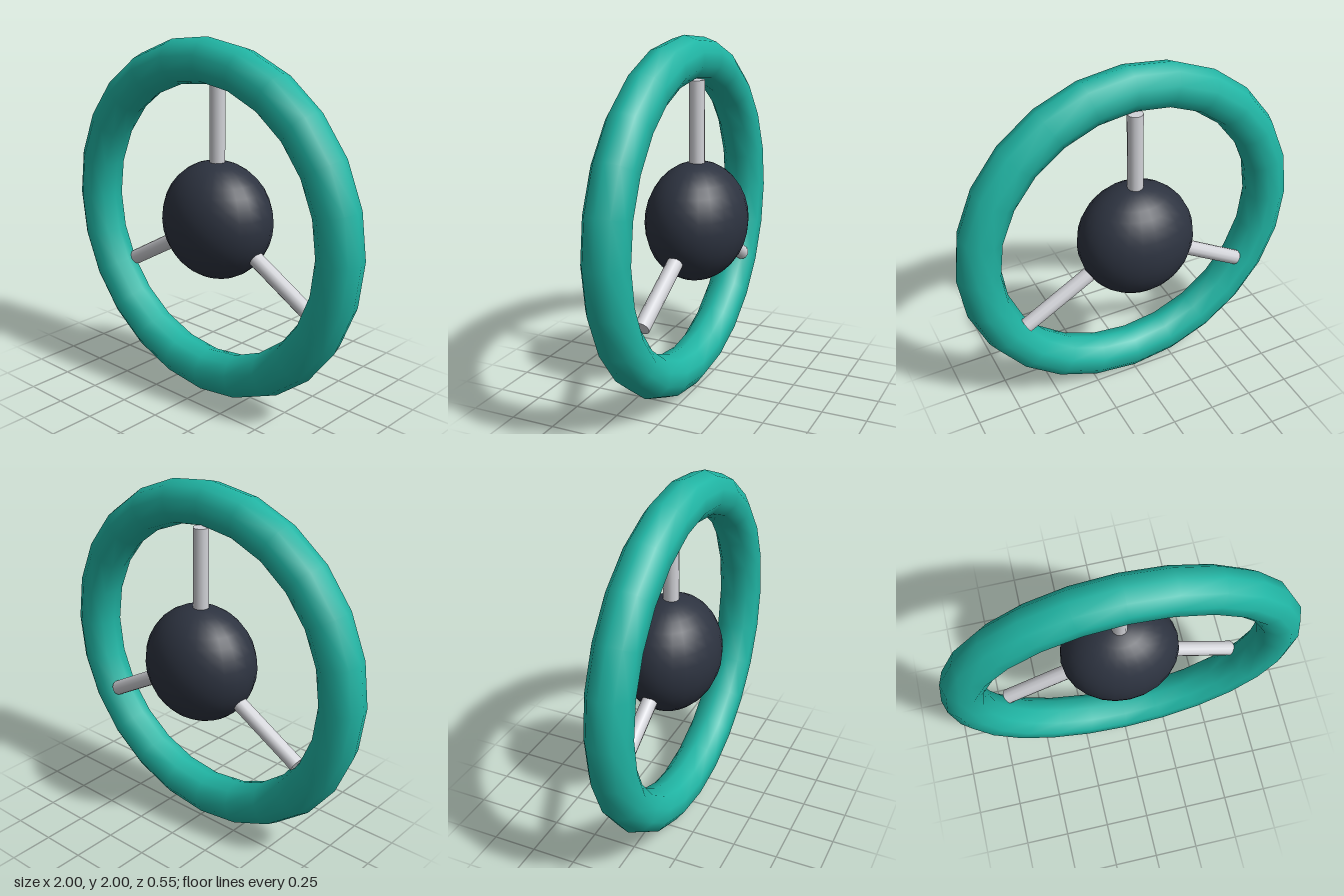
import * as THREE from 'three';

const RING_RADIUS = 0.878, TUBE_RADIUS = 0.122, SPOKE_LENGTH = 0.77;

function addMesh(parent, name, geometry, color) {
  const mesh = new THREE.Mesh(geometry, new THREE.MeshStandardMaterial({ color }));
  mesh.name = name;
  parent.add(mesh);
  return mesh;
}

export function createModel() {
  const wheel = new THREE.Group();
  wheel.name = 'wheel';
  wheel.position.y = 1;

  // Rim, set slightly forward of the hub
  const rim = addMesh(wheel, 'rim', new THREE.TorusGeometry(RING_RADIUS, TUBE_RADIUS, 10, 24), 0x20b5a4);
  rim.position.z = 0.073;

  // Hub, a sphere flattened from front to back
  const hub = addMesh(wheel, 'hub', new THREE.SphereGeometry(0.33, 24, 16), 0x2d3340);
  hub.scale.z = 0.833;

  // Three spokes from the hub centre to the rim
  const spokeGeometry = new THREE.CylinderGeometry(0.043, 0.043, SPOKE_LENGTH, 12);
  spokeGeometry.translate(0, SPOKE_LENGTH / 2, 0);
  for (let i = 0; i < 3; i++) {
    const spoke = addMesh(wheel, `spoke${i + 1}`, spokeGeometry, 0xd2d3d8);
    spoke.rotation.z = (i * Math.PI * 2) / 3;
  }

  const model = new THREE.Group();
  model.name = 'steeringWheel';
  model.add(wheel);
  return model;
}
